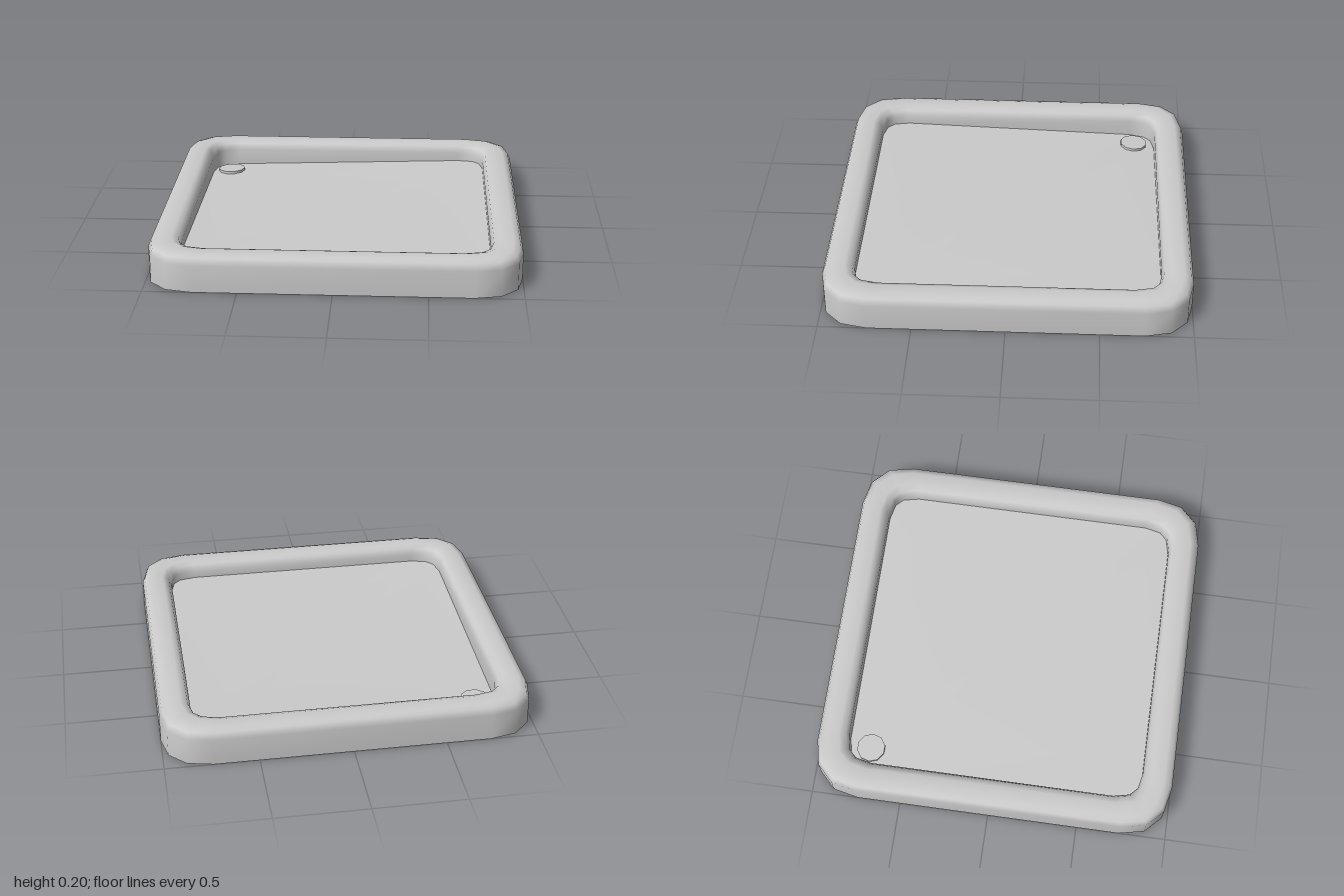
import * as THREE from 'three';

const OUTER = [[1, 0.74], [0.97, 0.88], [0.88, 0.97], [0.74, 1]];
const INNER = [[0.83, 0.68], [0.81, 0.77], [0.77, 0.81], [0.68, 0.83]];
const EDGE = 0.83;

// floor falls towards the drain in the back corner
const floorY = (x, z) => 0.105 - 0.055 * ((EDGE - x) / (2 * EDGE)) * ((EDGE - z) / (2 * EDGE));

// rounded square, one corner turned four times; f = 0 outer edge, f = 1 inner edge
function outline(f, scale = 1) {
  const points = [];
  for (let q = 0; q < 4; q++) {
    OUTER.forEach((o, k) => {
      let x = THREE.MathUtils.lerp(o[0], INNER[k][0], f) * scale;
      let z = THREE.MathUtils.lerp(o[1], INNER[k][1], f) * scale;
      for (let r = 0; r < q; r++) [x, z] = [-z, x];
      points.push([x, z]);
    });
  }
  return points;
}

// skin over a list of rings: { f, scale, y }, where y is a number or a rule
function loft(name, rings, material) {
  const positions = [], index = [], n = 16;
  rings.forEach(({ f, scale, y }, i) => {
    outline(f, scale).forEach(([x, z], j) => {
      positions.push(x, typeof y === 'function' ? y(x, z) : y, z);
      if (i === rings.length - 1) return;
      const a = i * n + j, b = i * n + (j + 1) % n;
      index.push(a, a + n, b, b, a + n, b + n);
    });
  });
  const geometry = new THREE.BufferGeometry();
  geometry.setAttribute('position', new THREE.Float32BufferAttribute(positions, 3));
  geometry.setIndex(index);
  geometry.computeVertexNormals();
  const mesh = new THREE.Mesh(geometry, material);
  mesh.name = name;
  return mesh;
}

export function createModel() {
  const group = new THREE.Group();
  group.name = 'showerTray';
  const material = new THREE.MeshStandardMaterial({ color: 0xcccccc });

  // rounded rim: outer wall, top and inner wall
  const profile = [[1, 0], [1, 0.15], [0.985, 0.186], [0.95, 0.2],
    [0.88, 0.2], [0.845, 0.186], [0.83, 0.15], [0.83, floorY]];
  group.add(loft('rim', profile.map(([r, y]) => ({ f: (1 - r) / 0.17, y })), material));

  // sloping floor
  const floorRings = [1, 0.75, 0.5, 0.25, 0].map((scale) => ({ f: 1, scale, y: floorY }));
  group.add(loft('floor', floorRings, material));

  // flat underside
  group.add(loft('underside', [{ f: 0, scale: 0, y: 0 }, { f: 0, scale: 1, y: 0 }], material));

  // drain cover, tilted with the floor
  const x = -0.72, z = -0.705, d = 0.01;
  const normal = new THREE.Vector3(
    (floorY(x - d, z) - floorY(x + d, z)) / (2 * d), 1,
    (floorY(x, z - d) - floorY(x, z + d)) / (2 * d)).normalize();
  const drain = new THREE.Mesh(new THREE.CylinderGeometry(0.08, 0.08, 0.03, 10).rotateY(Math.PI / 2), material);
  drain.name = 'drainCover';
  drain.position.set(x, floorY(x, z), z);
  drain.quaternion.setFromUnitVectors(new THREE.Vector3(0, 1, 0), normal);
  group.add(drain);

  return group;
}
